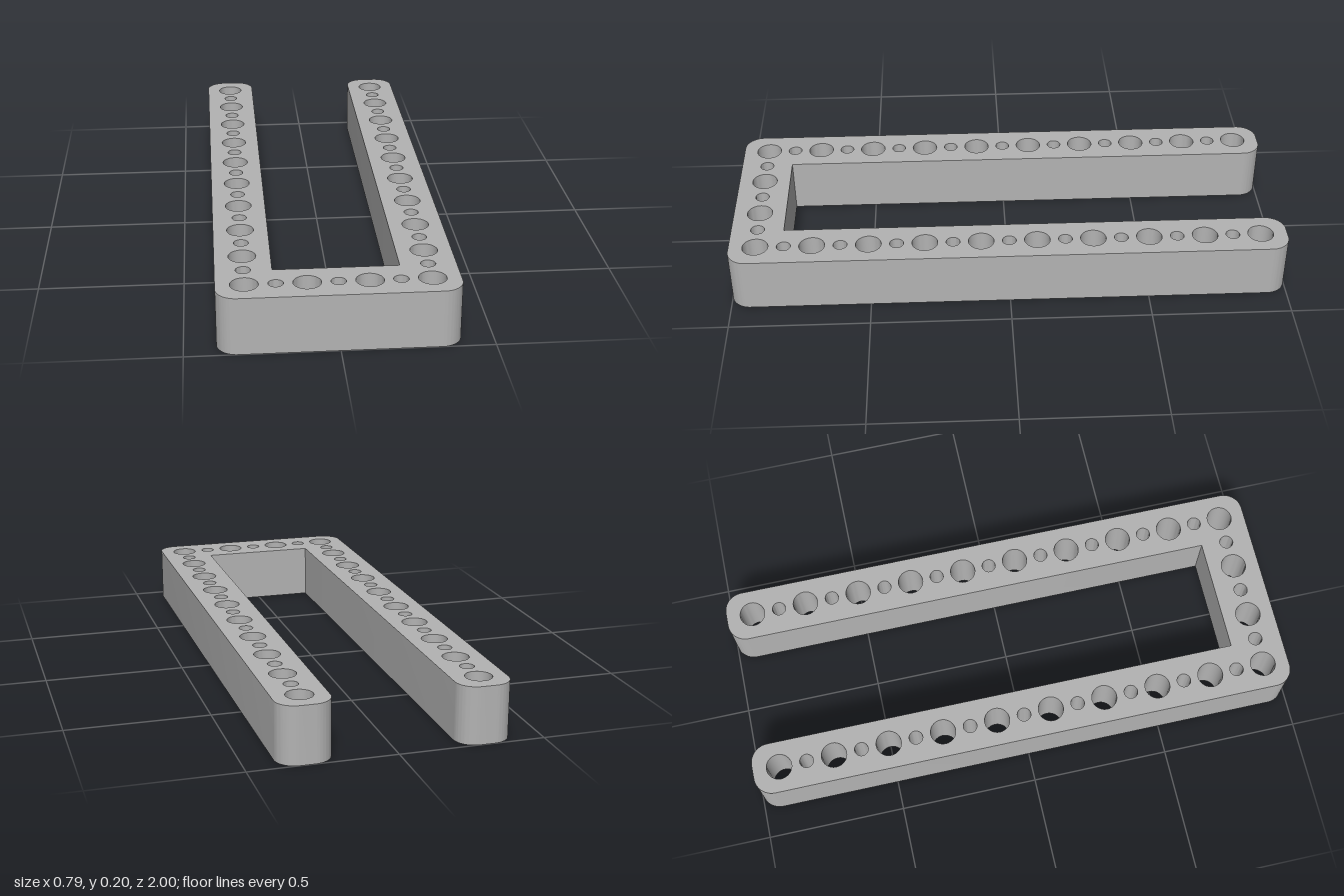
import * as THREE from 'three';
import { toCreasedNormals } from 'three/addons/utils/BufferGeometryUtils.js';

const HALF_W = 0.395, INNER = 0.208, INNER_Z = 0.81, CORNER = 0.068, HEIGHT = 0.2;
const PITCH = 0.201, ROW_X = 0.302, ROW_Z = 0.905, BIG = 0.046, SMALL = 0.025;

// U outline in plan; shape y is -z
function frameOutline() {
  const s = new THREE.Shape(), r = CORNER, q = Math.PI / 2;
  const corner = (x, y, start) => s.absarc(x, y, r, start, start + q, false);
  corner(-HALF_W + r, -1 + r, 2 * q);
  corner(HALF_W - r, -1 + r, 3 * q);
  corner(HALF_W - r, 1 - r, 0);
  corner(INNER + r, 1 - r, q);
  s.lineTo(INNER, -INNER_Z);
  s.lineTo(-INNER, -INNER_Z);
  corner(-INNER - r, 1 - r, 0);
  corner(-HALF_W + r, 1 - r, q);
  s.closePath();
  return s;
}

export function createModel() {
  const group = new THREE.Group();
  const grey = new THREE.MeshStandardMaterial({ color: 0xb3b3b3 });
  grey.name = 'plain grey';

  const shape = frameOutline();
  const addHole = (x, z, radius) => {
    const hole = new THREE.Path();
    hole.absarc(x, -z, radius, 0, Math.PI * 2, true);
    shape.holes.push(hole);
  };

  // alternating large and small holes along both arms
  for (const x of [-ROW_X, ROW_X]) {
    for (let i = 0; i < 19; i++) addHole(x, ROW_Z - i * PITCH / 2, i % 2 ? SMALL : BIG);
  }
  // holes across the front bar, between the corner holes
  for (let i = -2; i <= 2; i++) addHole(i * PITCH / 2, ROW_Z, i % 2 ? BIG : SMALL);

  let geometry = new THREE.ExtrudeGeometry(shape, { depth: HEIGHT, bevelEnabled: false, curveSegments: 16 });
  geometry.rotateX(-Math.PI / 2);
  geometry = toCreasedNormals(geometry, 0.6);

  const frame = new THREE.Mesh(geometry, grey);
  frame.name = 'perforatedFrame';
  group.add(frame);
  return group;
}
